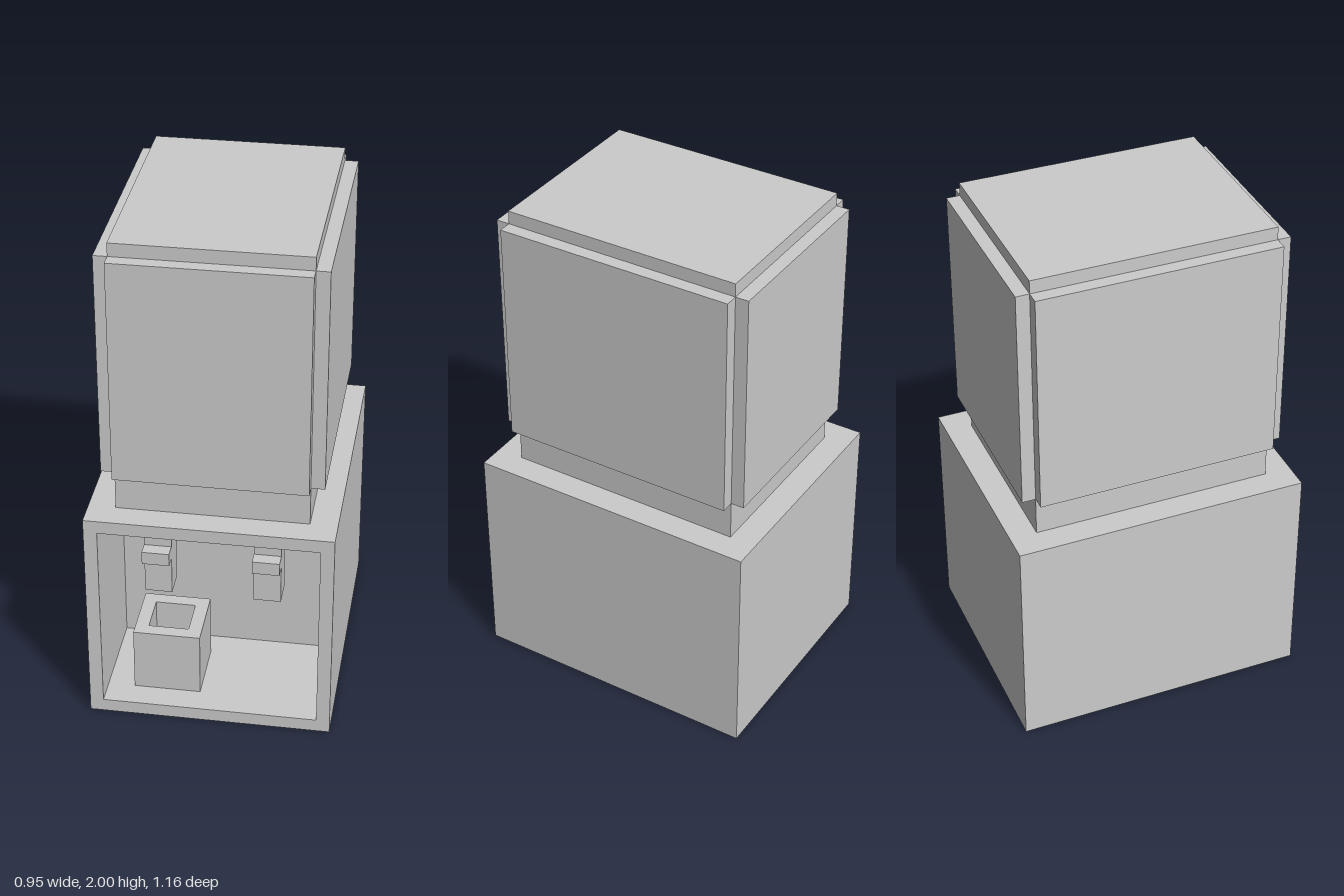
import * as THREE from 'three';

const U = 1 / 19; // module size: the model is 38 units tall

export function createModel() {
  const model = new THREE.Group();
  const material = new THREE.MeshStandardMaterial({ color: 0xcccccc, flatShading: true });

  function add(name, geometry) {
    const mesh = new THREE.Mesh(geometry, material);
    mesh.name = name;
    model.add(mesh);
    return mesh;
  }

  // Box given by its extents in units
  function box(name, x0, x1, y0, y1, z0, z1) {
    const mesh = add(name, new THREE.BoxGeometry((x1 - x0) * U, (y1 - y0) * U, (z1 - z0) * U));
    mesh.position.set((x0 + x1) / 2 * U, (y0 + y1) / 2 * U, (z0 + z1) / 2 * U);
    return mesh;
  }

  // Rectangular frame extruded along z
  function frame(name, x0, x1, y0, y1, wall, depth) {
    const rect = (target, a, b, c, d) => target
      .moveTo(a * U, c * U).lineTo(b * U, c * U).lineTo(b * U, d * U).lineTo(a * U, d * U).closePath();
    const shape = rect(new THREE.Shape(), x0, x1, y0, y1);
    shape.holes.push(rect(new THREE.Path(), x0 + wall, x1 - wall, y0 + wall, y1 - wall));
    return add(name, new THREE.ExtrudeGeometry(shape, { depth: depth * U, bevelEnabled: false }));
  }

  // Base: solid rear with an open compartment at the front
  box('baseRear', -9, 9, 0, 17, -11, 2);
  frame('baseCompartment', -9, 9, 0, 17, 1, 9).position.z = 2 * U;

  // Upper tower and its four raised side panels
  box('towerCore', -7, 7, 17, 38, -9, 9);
  for (const s of [-1, 1]) {
    const side = s > 0 ? 'left' : 'right';
    box(side + 'Panel', s * 7.5 - 0.5, s * 7.5 + 0.5, 20, 37, -9, 9);
    box(s > 0 ? 'frontPanel' : 'backPanel', -7, 7, 20, 37, s * 9.5 - 0.5, s * 9.5 + 0.5);

    // Hanging posts with a small peg, inside the compartment
    const x = s * 4;
    box(side + 'Post', x - 1, x + 1, 10, 16, 7, 9);
    box(side + 'Peg', x - 1, x + 1, 13, 14, 9, 10);
  }

  // Open-topped container standing on the compartment floor
  const container = frame('containerWalls', -6, -1, -9, -4, 1, 5);
  container.rotation.x = -Math.PI / 2;
  container.position.y = U;
  box('containerBottom', -5, -2, 1, 2, 5, 8);

  return model;
}
